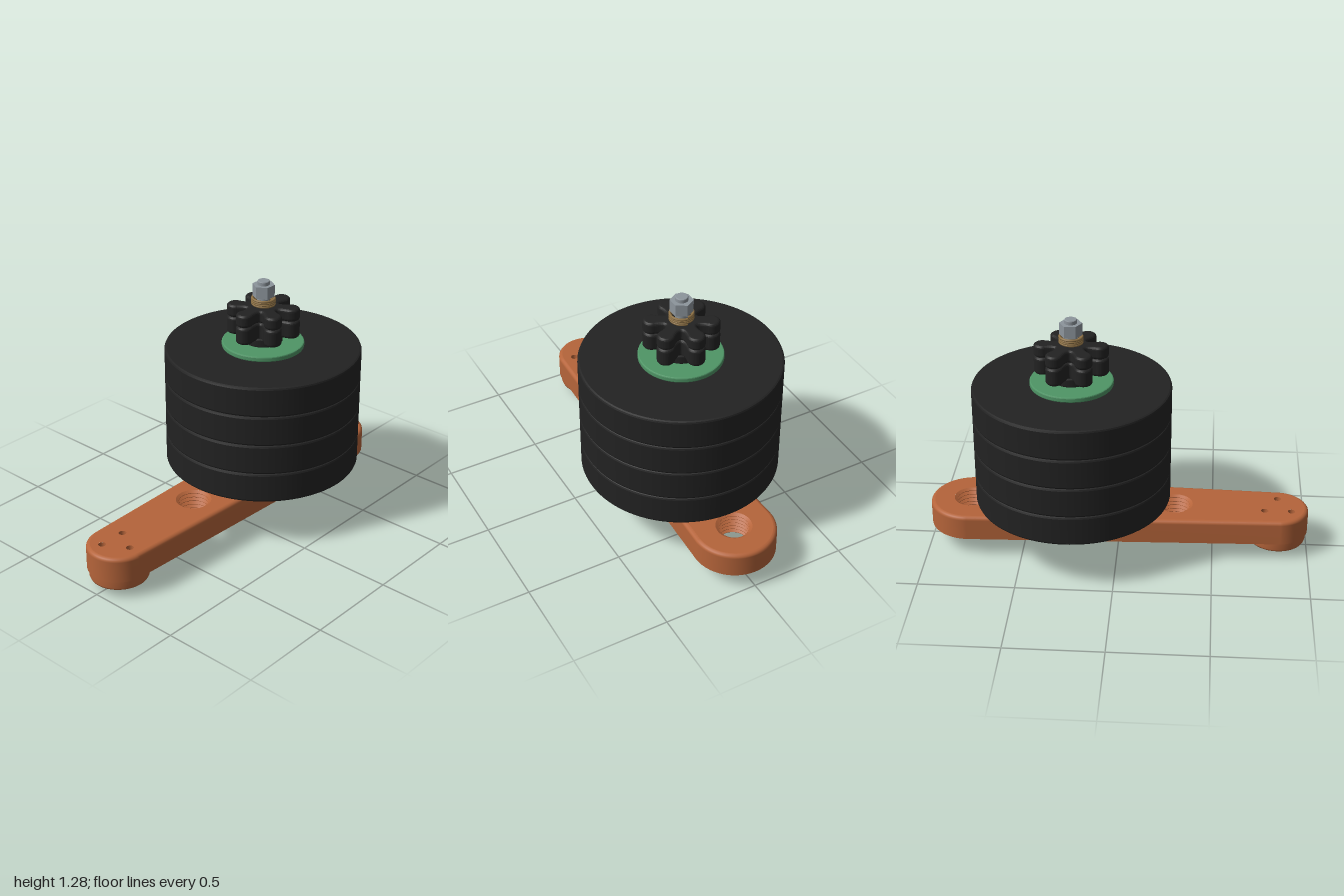
import * as THREE from 'three';

const mat = (name, color, side = THREE.FrontSide) => {
  const m = new THREE.MeshStandardMaterial({ color, side });
  m.name = name;
  return m;
};

export function createModel() {
  const orange = mat('orange', 0xb5643a);
  const black = mat('black', 0x222222);
  const green = mat('green', 0x4f9566);
  const tan = mat('tan', 0xab8b5a);
  const brass = mat('brass', 0x8f7245);
  const steel = mat('steel', 0x8d959c);

  const model = new THREE.Group();
  const AXIS = 0.24; // x of the bolt and everything stacked on it

  function add(name, geometry, material, x = 0, y = 0, z = 0) {
    const mesh = new THREE.Mesh(geometry, material);
    mesh.name = name;
    mesh.position.set(x, y, z);
    model.add(mesh);
    return mesh;
  }

  // Turned part; inner points are doubled so that edges stay crisp
  function turned(profile, segments = 64) {
    const pts = profile.flatMap(([r, y], i) => {
      const p = new THREE.Vector2(r, y);
      return i === 0 || i === profile.length - 1 ? [p] : [p, p.clone()];
    });
    return new THREE.LatheGeometry(pts, segments);
  }

  // Solid disc with softened rims
  function disc(r, y0, y1, b, segments = 96) {
    const k = b * 0.3;
    return turned([[0, y0], [r - b, y0], [r - k, y0 + k], [r, y0 + b],
      [r, y1 - b], [r - k, y1 - k], [r - b, y1], [0, y1]], segments);
  }

  // Outline around two circles on the x axis, shrunk by an inset
  function outline({ xa, ra, xb, rb }, inset) {
    const n = 40;
    const phi = xb > xa ? Math.asin((rb - ra) / (xb - xa)) : 0;
    const half = Math.PI / 2 + phi;
    const pts = [];
    const arc = (x, r, from, to) => {
      for (let i = 0; i < n; i++) {
        const t = from + (to - from) * (i + 0.5) / n;
        pts.push(new THREE.Vector2(x + (r - inset) * Math.cos(t), (r - inset) * Math.sin(t)));
      }
    };
    arc(xb, rb, -half, half);
    arc(xa, ra, half, 2 * Math.PI - half);
    return pts;
  }

  // Plate: lofted wall through [inset, y] levels, with pierced caps
  function plate(name, form, levels, holes, material) {
    const rings = levels.map(([inset]) => outline(form, inset));
    const n = rings[0].length;
    const position = [];
    const index = [];
    rings.forEach((ring, l) => ring.forEach((p, i) => {
      position.push(p.x, levels[l][1], -p.y);
      if (l === rings.length - 1) return;
      const a = l * n + i, b = l * n + (i + 1) % n;
      index.push(a, b, a + n, b, b + n, a + n);
    }));
    const wall = new THREE.BufferGeometry();
    wall.setAttribute('position', new THREE.Float32BufferAttribute(position, 3));
    wall.setIndex(index);
    wall.computeVertexNormals();
    add(name + 'Wall', wall, material);

    const cap = (ring, up) => {
      const shape = new THREE.Shape(ring);
      for (const [x, z, r] of holes) {
        const path = new THREE.Path();
        path.absarc(x, up ? -z : z, r, 0, Math.PI * 2);
        shape.holes.push(path);
      }
      return new THREE.ShapeGeometry(shape, 20).rotateX(up ? -Math.PI / 2 : Math.PI / 2);
    };
    add(name + 'Top', cap(rings[rings.length - 1], true), material, 0, levels[levels.length - 1][1]);
    add(name + 'Underside', cap(rings[0], false), material, 0, levels[0][1]);
  }

  // Tapered arm
  const BOSS = -0.84, BOTTOM = 0.098, TOP = 0.23;
  const pinHoles = [[BOSS - 0.07, -0.043, 0.019], [BOSS + 0.07, -0.043, 0.019], [BOSS, 0.08, 0.019]];
  const bigHoles = [-0.3, -0.03, 0.51, 0.785].map(x => [x, 0, 0.092]);
  plate('arm', { xa: BOSS, ra: 0.16, xb: 0.785, rb: 0.215 },
    [[0, BOTTOM], [0, TOP - 0.02], [0.0015, TOP - 0.012], [0.006, TOP - 0.006], [0.012, TOP - 0.0015], [0.02, TOP]],
    [...pinHoles, ...bigHoles], orange);

  // Stepped boss under the narrow end
  plate('boss', { xa: BOSS, ra: 0.15, xb: BOSS, rb: 0.15 },
    [[0.014, 0.042], [0.004, 0.046], [0, 0.056], [0, BOTTOM]], pinHoles, orange);
  plate('bossFoot', { xa: BOSS, ra: 0.102, xb: BOSS, rb: 0.102 },
    [[0, 0.028], [0, 0.042]], pinHoles, orange);

  // Pin hole linings
  for (const [x, z, r] of pinHoles) {
    add('pinHole', turned([[r, TOP], [r, 0.028]], 24), orange, x, 0, z);
  }

  // Threaded hole linings
  const thread = [[0.092, TOP]];
  const turns = 6, pitch = (TOP - BOTTOM) / turns;
  for (let i = 0; i < turns; i++) {
    const y = TOP - i * pitch;
    thread.push([0.077, y - pitch * 0.45], [0.077, y - pitch * 0.55], [0.092, y - pitch]);
  }
  for (const [x] of bigHoles) add('threadedHole', turned(thread, 48), orange, x);

  // Washers and the stack of weight discs
  add('lowerSpacer', disc(0.215, TOP, 0.275, 0.012), tan, AXIS);
  const discHeight = 0.1612;
  for (let i = 0; i < 4; i++) {
    const y = 0.275 + i * discHeight;
    add('weightDisc', disc(0.511, y, y + discHeight, 0.011, 128), black, AXIS);
  }
  add('upperWasher', disc(0.214, 0.9198, 0.948, 0.006), green, AXIS);

  // Six-lobed knob in two layers on a round hub
  add('knobHub', disc(0.102, 0.948, 0.995, 0.006), black, AXIS);
  const star = new THREE.Shape();
  const LOBES = 6, reach = 0.145, lobeR = 0.045, sweep = 1.95;
  for (let i = 0; i < LOBES; i++) {
    const a = i * 2 * Math.PI / LOBES;
    const cx = reach * Math.cos(a), cy = reach * Math.sin(a);
    if (i === 0) star.moveTo(cx + lobeR * Math.cos(a - sweep), cy + lobeR * Math.sin(a - sweep));
    star.absarc(cx, cy, lobeR, a - sweep, a + sweep, false);
    const v = a + Math.PI / LOBES, next = a + 2 * Math.PI / LOBES;
    star.quadraticCurveTo(0.045 * Math.cos(v), 0.045 * Math.sin(v),
      reach * Math.cos(next) + lobeR * Math.cos(next - sweep),
      reach * Math.sin(next) + lobeR * Math.sin(next - sweep));
  }
  for (const [y0, y1] of [[0.983, 1.078], [1.078, 1.145]]) {
    const b = 0.016;
    const layer = new THREE.ExtrudeGeometry(star, {
      depth: y1 - y0 - 2 * b, bevelEnabled: true, bevelThickness: b,
      bevelSize: b, bevelOffset: -b, bevelSegments: 4, curveSegments: 14,
    });
    layer.translate(0, 0, b).rotateX(-Math.PI / 2);
    add('knobLayer', layer, black, AXIS, y0);
  }

  // Spring between knob and nut
  const coil = [];
  for (let i = 0; i <= 96; i++) {
    const t = i / 96, a = t * 4 * Math.PI * 2;
    coil.push(new THREE.Vector3(0.057 * Math.cos(a), 1.151 + 0.038 * t, 0.057 * Math.sin(a)));
  }
  add('spring', new THREE.TubeGeometry(new THREE.CatmullRomCurve3(coil), 192, 0.0065, 8), brass, AXIS);

  // Bolt, nuts and lower washer
  add('boltShaft', disc(0.032, 0, 1.28, 0.004, 32), steel, AXIS);
  add('boltWasher', disc(0.1, 0.08, BOTTOM, 0.003), steel, AXIS);
  for (const [y0, y1] of [[0.025, 0.08], [1.195, 1.259]]) {
    const nut = new THREE.CylinderGeometry(0.058, 0.058, y1 - y0, 6).rotateY(Math.PI / 6).toNonIndexed();
    nut.computeVertexNormals();
    add('hexNut', nut, steel, AXIS, (y0 + y1) / 2);
  }

  return model;
}
